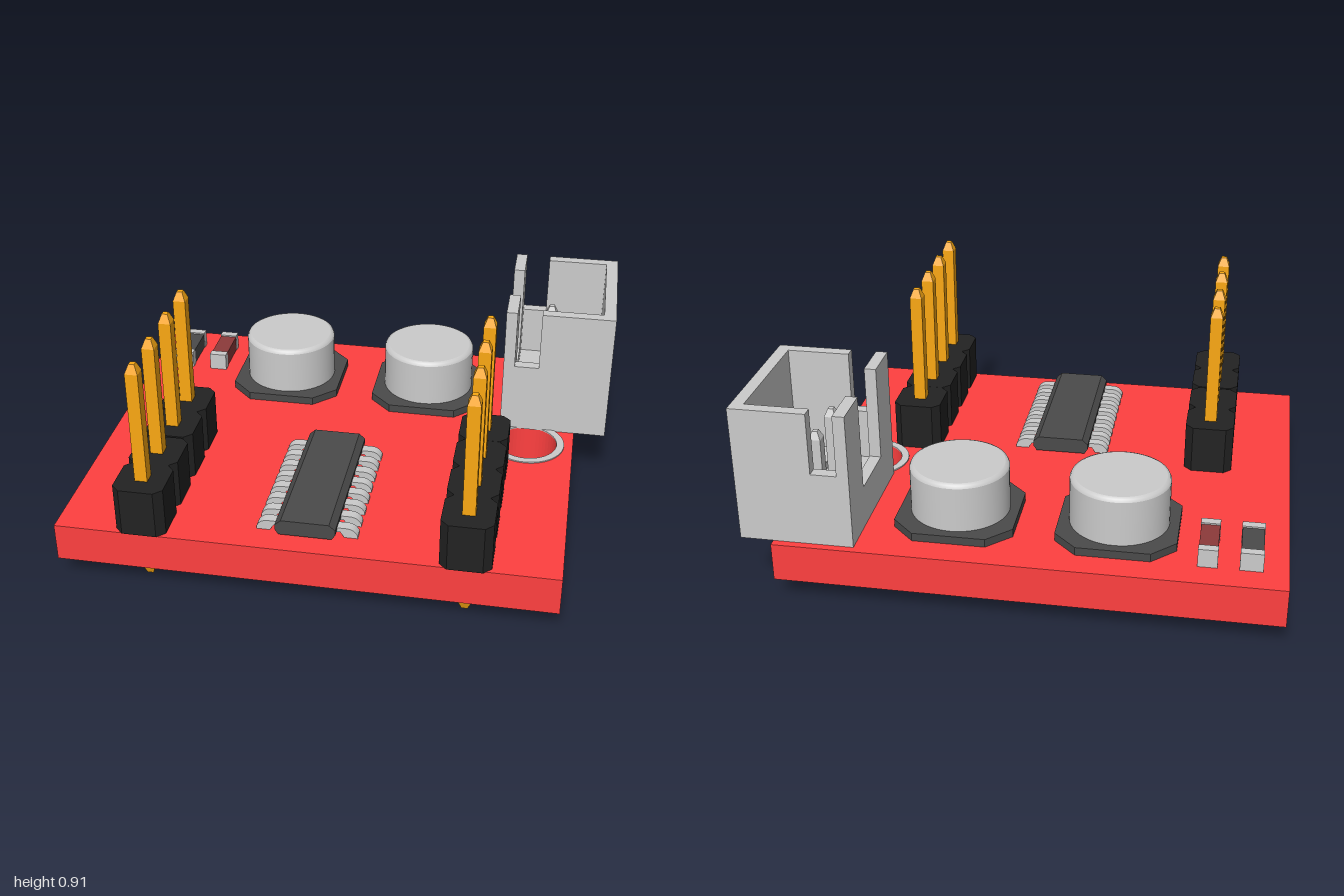
import * as THREE from 'three';

const mat = (color, flatShading = false) => new THREE.MeshStandardMaterial({ color, flatShading });
const GREY = mat(0xcccccc), RED = mat(0xff4040), BLACK = mat(0x222222), DARK = mat(0x4a4a4a);
const GOLD = mat(0xfaa812, true), GREY_FLAT = mat(0xcccccc, true), BROWN = mat(0x8c3a3a);
const TOP = 0.24; // board surface

function add(parent, name, geometry, material, x = 0, y = 0, z = 0) {
  const mesh = new THREE.Mesh(geometry, material);
  mesh.name = name;
  mesh.position.set(x, y, z);
  parent.add(mesh);
  return mesh;
}

function group(parent, name) {
  const g = new THREE.Group();
  g.name = name;
  parent.add(g);
  return g;
}

const shapeOf = (points) => new THREE.Shape(points.map(([x, y]) => new THREE.Vector2(x, y)));
const extrude = (shape, depth) =>
  new THREE.ExtrudeGeometry(shape, { depth, bevelEnabled: false, curveSegments: 24 });

// Rectangle with cut corners, lying flat and rising from y = 0
function cutBlock(w, d, cut, h) {
  const a = w / 2, b = d / 2;
  return extrude(shapeOf([[-a + cut, -b], [a - cut, -b], [a, -b + cut], [a, b - cut],
    [a - cut, b], [-a + cut, b], [-a, b - cut], [-a, -b + cut]]), h).rotateX(-Math.PI / 2);
}

// Square pin with tapered ends
function pinGeometry(w, y0, y1, taper) {
  const r = w / Math.SQRT2, tip = r * 0.45;
  const profile = [[0, y0], [tip, y0], [r, y0 + taper], [r, y1 - taper], [tip, y1], [0, y1]];
  return new THREE.LatheGeometry(profile.map(([x, y]) => new THREE.Vector2(x, y)), 4)
    .rotateY(Math.PI / 4);
}

function addHeader(parent, name, x, zs) {
  const g = group(parent, name);
  const body = cutBlock(0.19, 0.194, 0.03, 0.19);
  const pin = pinGeometry(0.048, 0.005, 0.91, 0.035);
  for (const z of zs) {
    add(g, 'headerBlock', body, BLACK, x, TOP, z);
    add(g, 'headerPin', pin, GOLD, x, 0, z);
  }
}

function addCapacitor(parent, x, z) {
  const g = group(parent, 'capacitor');
  add(g, 'capacitorBase', cutBlock(0.45, 0.45, 0.088, 0.032), DARK, x, TOP, z);
  const profile = [[0.188, 0.03], [0.188, 0.21], [0.188, 0.21], [0.183, 0.221],
    [0.172, 0.226], [0.172, 0.226], [0, 0.226]];
  add(g, 'capacitorCan', new THREE.LatheGeometry(
    profile.map(([r, y]) => new THREE.Vector2(r, y)), 48), GREY, x, TOP, z);
}

function addChip(parent) {
  const g = group(parent, 'chip');
  g.position.set(-0.065, TOP, 0.39);
  // body section with sloping shoulders
  const body = extrude(shapeOf([[-0.1, 0.01], [0.1, 0.01], [0.113, 0.03], [0.113, 0.05],
    [0.09, 0.071], [-0.09, 0.071], [-0.113, 0.05], [-0.113, 0.03]]), 0.64).translate(0, 0, -0.32);
  add(g, 'chipBody', body, DARK);
  // bent legs
  const s = new THREE.Shape();
  s.moveTo(0.1, 0.022);
  s.lineTo(0.125, 0.022);
  s.lineTo(0.14, 0);
  s.lineTo(0.19, 0);
  s.lineTo(0.19, 0.012);
  s.quadraticCurveTo(0.178, 0.038, 0.15, 0.04);
  s.lineTo(0.1, 0.04);
  const leg = extrude(s, 0.04).translate(0, 0, -0.02);
  for (let i = 0; i < 8; i++) {
    const z = (i - 3.5) * 0.0757;
    add(g, 'chipLeg', leg, GREY, 0, 0, z);
    add(g, 'chipLeg', leg, GREY, 0, 0, z).rotation.y = Math.PI;
  }
}

function addSmallPart(parent, name, x, w, material) {
  const g = group(parent, name);
  add(g, name + 'Body', new THREE.BoxGeometry(w * 0.96, 0.064, 0.16), material, x, TOP + 0.034, -0.583);
  for (const s of [-1, 1])
    add(g, name + 'End', new THREE.BoxGeometry(w, 0.072, 0.034), GREY, x, TOP + 0.036, -0.583 + s * 0.093);
}

function addConnector(parent) {
  const g = group(parent, 'connector');
  const zMid = -0.485, half = 0.285, t = 0.045, h = 0.53;
  // plate whose outline runs across z, given depth along x
  const across = (points, x, depth) => extrude(shapeOf(points), depth)
    .rotateY(Math.PI / 2).translate(x, TOP, zMid);
  // side walls with a slot by the latch wall
  const side = extrude(shapeOf([[0.57, 0], [1, 0], [1, h], [0.712, h], [0.712, 0.29],
    [0.615, 0.29], [0.615, h], [0.57, h]]), t);
  for (const s of [-1, 1])
    add(g, 'connectorSide', side, GREY, 0, TOP, zMid + s * (half - t / 2) - t / 2);
  // latch wall, open in the middle
  const i = half - t;
  add(g, 'connectorLatchWall', across([[-i, 0], [i, 0], [i, h], [0.12, h], [0.12, 0.16],
    [-0.12, 0.16], [-0.12, h], [-i, h]], 0.57, 0.045), GREY);
  // outer wall and floor, notched underneath
  const notched = (top) => [[-i, 0], [-0.167, 0], [-0.167, 0.058], [-0.027, 0.058], [-0.027, 0],
    [0.027, 0], [0.027, 0.058], [0.167, 0.058], [0.167, 0], [i, 0], [i, top], [-i, top]];
  add(g, 'connectorOuterWall', across(notched(h), 0.952, 0.048), GREY);
  add(g, 'connectorFloorStep', across(notched(0.12), 0.79, 0.162), GREY);
  add(g, 'connectorFloor', new THREE.BoxGeometry(0.175, 0.09, i * 2), GREY, 0.7025, TOP + 0.045, zMid);
  for (const z of [-0.6, -0.41])
    add(g, 'connectorPin', pinGeometry(0.045, 0.01, 0.62, 0.03), GREY_FLAT, 0.74, 0, z);
}

export function createModel() {
  const model = new THREE.Group();
  model.name = 'driverBoard';
  const leftZ = [0.125, 0.32, 0.51, 0.702], rightZ = [0.113, 0.305, 0.507, 0.697];

  // Board with mounting hole and pin holes
  const outline = shapeOf([[-1, -0.79], [0.875, -0.79], [0.875, 0.8], [-1, 0.8]]);
  const hole = (x, z, r) => outline.holes.push(new THREE.Path().absarc(x, -z, r, 0, Math.PI * 2, true));
  hole(0.69, -0.09, 0.12);
  leftZ.forEach((z) => hole(0.53, z, 0.042));
  rightZ.forEach((z) => hole(-0.67, z, 0.042));
  [-0.6, -0.41].forEach((z) => hole(0.74, z, 0.038));
  add(model, 'board', extrude(outline, 0.15).rotateX(-Math.PI / 2), RED, 0, 0.09, 0);

  // Metal ring round the mounting hole
  const ring = new THREE.Shape().absarc(0, 0, 0.15, 0, Math.PI * 2);
  ring.holes.push(new THREE.Path().absarc(0, 0, 0.12, 0, Math.PI * 2, true));
  add(model, 'mountingRing', extrude(ring, 0.005).rotateX(-Math.PI / 2), GREY, 0.69, TOP, -0.09);

  addHeader(model, 'leftHeader', 0.53, leftZ);
  addHeader(model, 'rightHeader', -0.67, rightZ);
  addCapacitor(model, -0.37, -0.465);
  addCapacitor(model, 0.235, -0.465);
  addChip(model);
  addSmallPart(model, 'resistor', -0.866, 0.084, DARK);
  addSmallPart(model, 'lamp', -0.71, 0.072, BROWN);
  addConnector(model);
  return model;
}
